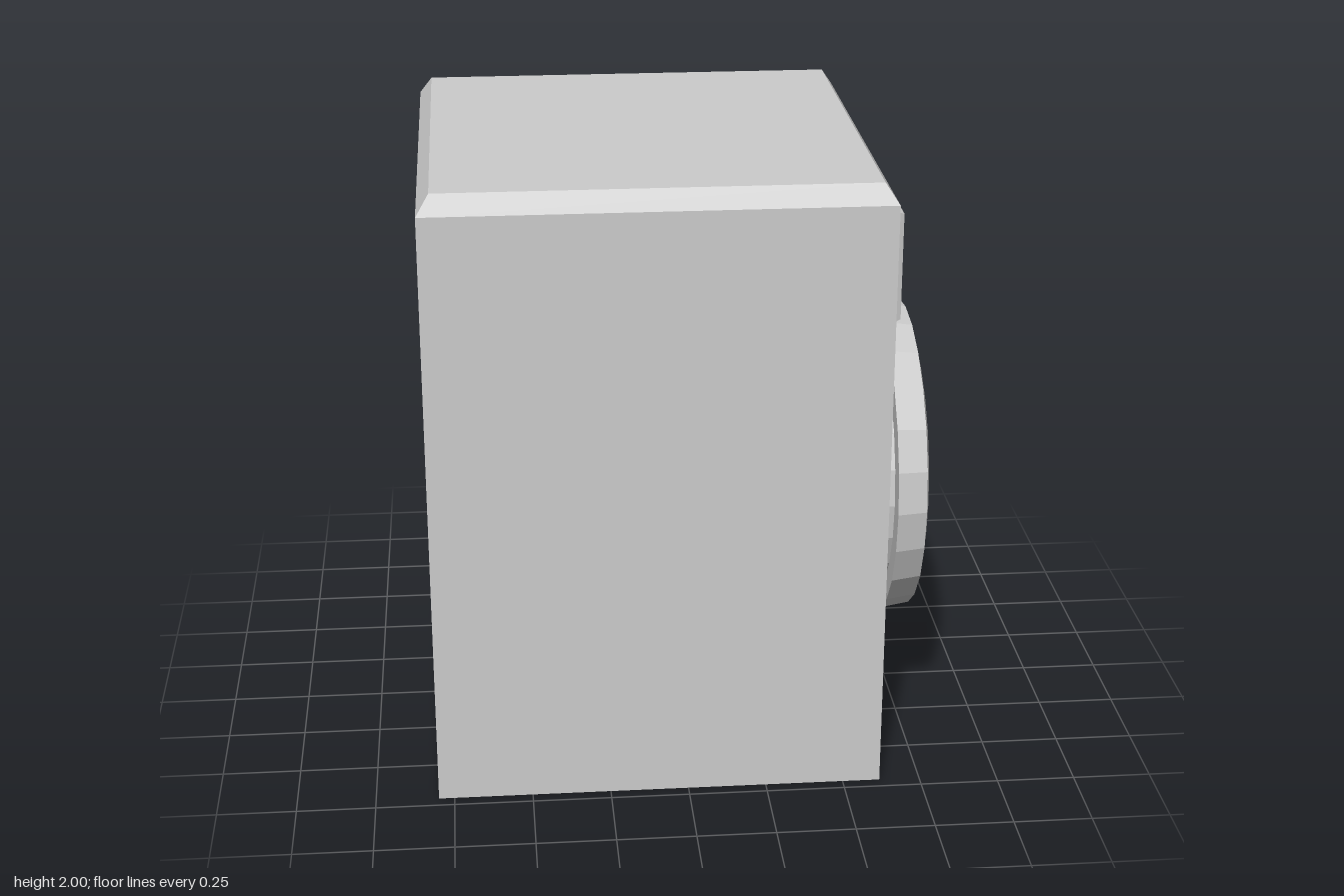
import * as THREE from 'three';

const material = new THREE.MeshStandardMaterial({ color: 0xcccccc, flatShading: true });

function add(parent, name, geometry) {
  geometry.computeVertexNormals();
  const mesh = new THREE.Mesh(geometry, material);
  mesh.name = name;
  parent.add(mesh);
  return mesh;
}

// Move every vertex by a rule
function reshape(geometry, rule) {
  const pos = geometry.attributes.position;
  const v = new THREE.Vector3();
  for (let i = 0; i < pos.count; i++) {
    rule(v.fromBufferAttribute(pos, i));
    pos.setXYZ(i, v.x, v.y, v.z);
  }
  return geometry;
}

// Cabinet with a chamfered top edge
function cabinet() {
  const g = reshape(new THREE.BoxGeometry(1.42, 2, 1.42, 1, 2, 1), (v) => {
    if (v.y > 0.5) {
      v.x *= 0.67 / 0.71;
      v.z *= 0.67 / 0.71;
    } else if (v.y > -0.5) v.y = 0.94;
  });
  return g.translate(-0.09, 1, 0);
}

// Detergent drawer front with a narrow bevel
function drawer() {
  const g = reshape(new THREE.BoxGeometry(0.025, 0.35, 0.395), (v) => {
    if (v.x > 0) {
      v.y -= Math.sign(v.y) * 0.01;
      v.z -= Math.sign(v.z) * 0.01;
    }
  });
  return g.translate(0.6225, 1.745, 0.507);
}

// Round door: cross-sections swept about the x axis, pulled out into a grip
function door() {
  const angles = [-22.5, 22.5];
  for (let i = 0; i < 24; i++) angles.push(i * 15 - 165);
  angles.sort((a, b) => a - b);

  const section = (deg) => {
    const a = Math.abs(deg);
    const grip = a < 1 ? 0.065 : a < 16 ? 0.058 : 0;
    return [
      [0.46, 0.61], [0.46, 0.685],
      [0.53 + grip, grip ? 0.71 : 0.685], [0.515 + grip, 0.78],
      [0.51, 0.78], [0.43, 0.8], [0.43, 0.7], [0, 0.7],
    ];
  };
  const points = [];
  const index = [];
  const n = angles.length;
  const m = section(0).length;
  angles.forEach((deg, i) => {
    const t = THREE.MathUtils.degToRad(deg);
    for (const [r, x] of section(deg)) {
      points.push(x, 0.85 + r * Math.sin(t), -0.01 - r * Math.cos(t));
    }
    for (let j = 0; j < m - 1; j++) {
      const a = i * m + j;
      const b = ((i + 1) % n) * m + j;
      index.push(a, b, a + 1);
      if (j < m - 2) index.push(b, b + 1, a + 1);
    }
  });
  const g = new THREE.BufferGeometry();
  g.setAttribute('position', new THREE.Float32BufferAttribute(points, 3));
  g.setIndex(index);
  return g;
}

// Nine-sided control knob
function knob(radius, z) {
  return new THREE.CylinderGeometry(radius, radius, 0.05, 9, 1, false, Math.PI)
    .rotateZ(-Math.PI / 2)
    .translate(0.632, 1.75, z);
}

export function createModel() {
  const model = new THREE.Group();
  model.name = 'washingMachine';
  add(model, 'cabinet', cabinet());
  add(model, 'drawer', drawer());
  add(model, 'door', door());
  add(model, 'smallKnob', knob(0.085, -0.17));
  add(model, 'largeKnob', knob(0.125, -0.465));

  // Four push buttons
  const buttons = new THREE.Group();
  buttons.name = 'buttons';
  for (const y of [1.695, 1.792]) {
    for (const z of [0.06, 0.175]) {
      add(buttons, 'button', new THREE.BoxGeometry(0.05, 0.07, 0.07).translate(0.632, y, z));
    }
  }
  model.add(buttons);
  return model;
}
